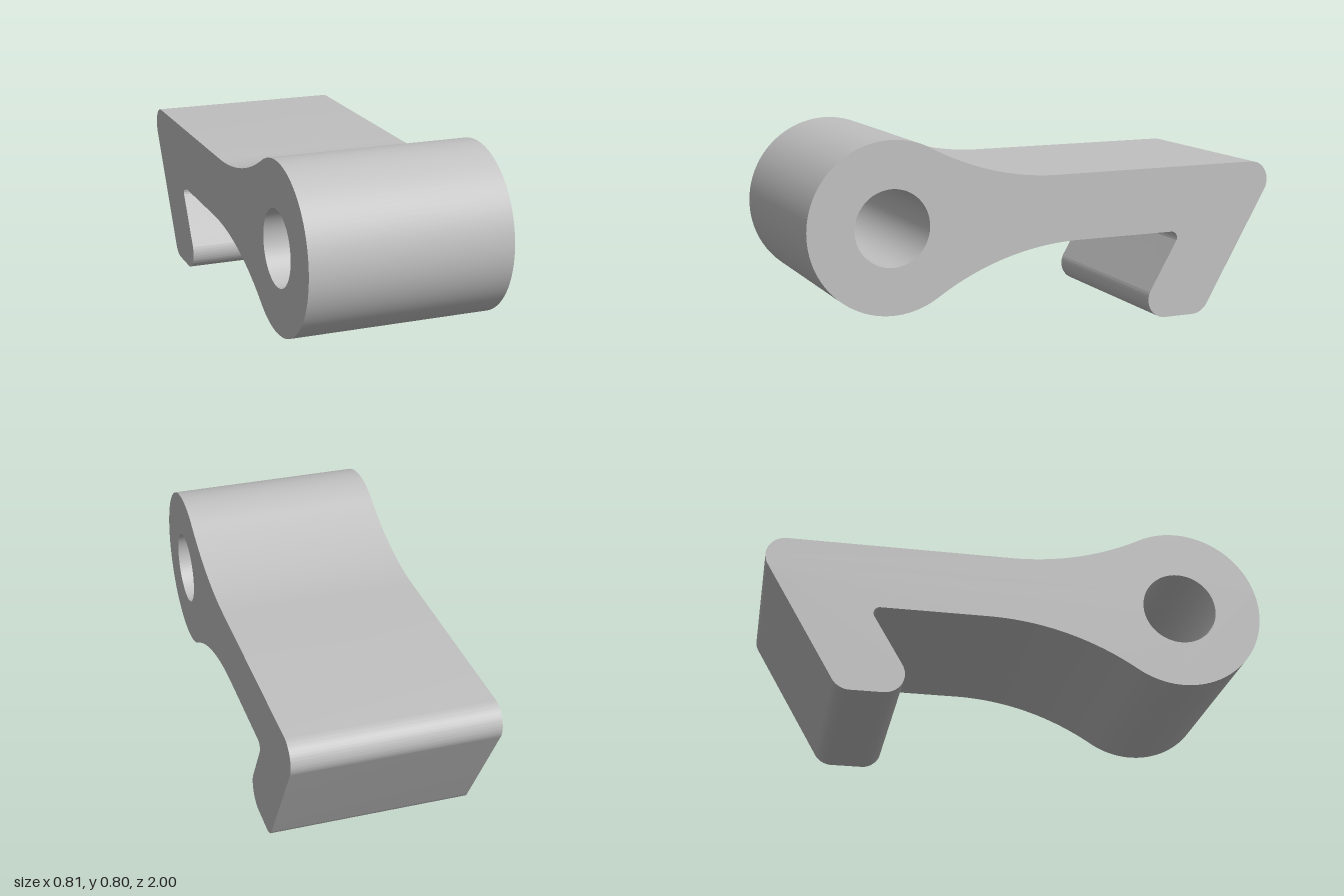
import * as THREE from 'three';
import { toCreasedNormals } from 'three/addons/utils/BufferGeometryUtils.js';

const WIDTH = 0.81;
const EYE = { z: 0.663, y: 0.463, r: 0.337, hole: 0.151 };
const NECK_R = 1.11; // radius of the concave blends between eye and arm
const ARM_TOP = 0.625, ARM_BOTTOM = 0.357;
const deg = THREE.MathUtils.degToRad;

// Concave blend tangent to the eye and to a horizontal arm edge (side: 1 top, -1 bottom)
function neckBlend(edgeY, side) {
  const y = edgeY + side * NECK_R;
  const dy = y - EYE.y;
  const dz = Math.sqrt((NECK_R + EYE.r) ** 2 - dy * dy);
  return { z: EYE.z - dz, y, eyeAngle: Math.atan2(dy, -dz), neckAngle: Math.atan2(-dy, dz) };
}

// Side outline, drawn with z across and y up
function clipProfile() {
  const top = neckBlend(ARM_TOP, 1);
  const bottom = neckBlend(ARM_BOTTOM, -1);
  const s = new THREE.Shape();
  // round eye, then the upper neck
  s.absarc(EYE.z, EYE.y, EYE.r, bottom.eyeAngle, top.eyeAngle, false);
  s.absarc(top.z, top.y, NECK_R, top.neckAngle, deg(-90), true);
  // back corner of the arm and the two rounded hook corners
  s.absarc(-0.92, 0.545, 0.08, deg(90), deg(210), false);
  s.absarc(-0.651, 0.08, 0.08, deg(210), deg(270), false);
  s.absarc(-0.523, 0.08, 0.08, deg(270), deg(390), false);
  // small fillet inside the hook, then the lower neck
  s.absarc(-0.545, 0.33, 0.027, deg(210), deg(90), true);
  s.absarc(bottom.z, bottom.y, NECK_R, deg(90), bottom.neckAngle, true);
  s.closePath();
  // pin hole
  const hole = new THREE.Path();
  hole.absarc(EYE.z, EYE.y, EYE.hole, 0, Math.PI * 2, true);
  s.holes.push(hole);
  return s;
}

export function createModel() {
  const model = new THREE.Group();
  model.name = 'hookedLever';
  const grey = new THREE.MeshStandardMaterial({ color: 0xc0c0c0 });
  grey.name = 'grey';

  const geometry = new THREE.ExtrudeGeometry(clipProfile(), {
    depth: WIDTH, bevelEnabled: false, curveSegments: 32,
  });
  // centre the width, then turn the outline to run along z
  geometry.translate(0, 0, -WIDTH / 2);
  geometry.rotateY(-Math.PI / 2);

  const body = new THREE.Mesh(toCreasedNormals(geometry, deg(35)), grey);
  body.name = 'leverBody';
  model.add(body);
  return model;
}
